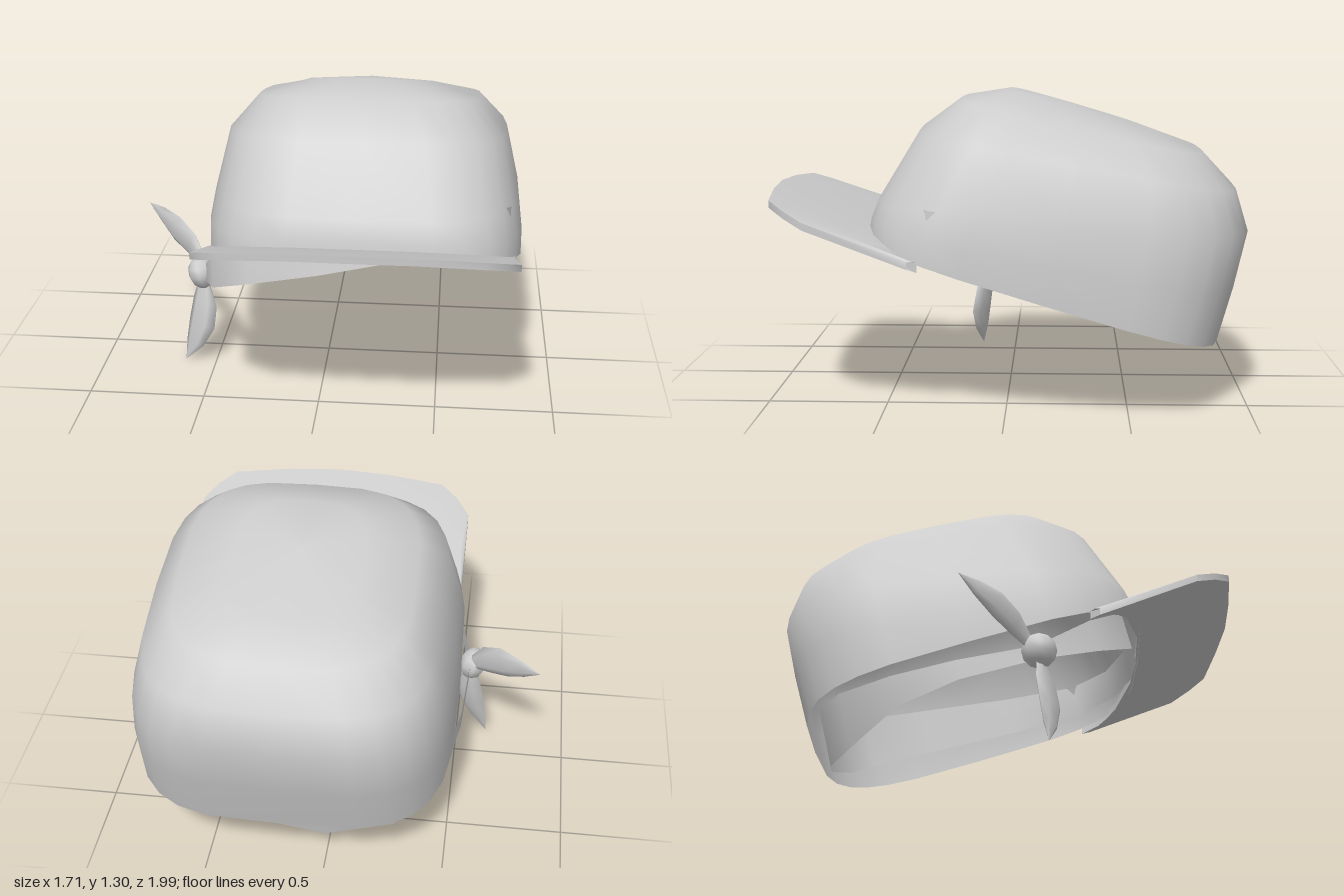
import * as THREE from 'three';
import { toCreasedNormals } from 'three/addons/utils/BufferGeometryUtils.js';

const V = (x, y, z) => new THREE.Vector3(x, y, z);
const CX = 0.17; // the cap sits a little to its left, balancing the knot

// Skin a list of cross-sections (arrays of Vector3 with equal length).
function loft(rings, { closeAround = true, closeAlong = false } = {}) {
  const n = rings[0].length, index = [];
  const rows = closeAlong ? rings.length : rings.length - 1;
  const cols = closeAround ? n : n - 1;
  for (let i = 0; i < rows; i++) {
    const a = i * n, b = ((i + 1) % rings.length) * n;
    for (let j = 0; j < cols; j++) {
      const k = (j + 1) % n;
      index.push(a + j, a + k, b + j, a + k, b + k, b + j);
    }
  }
  const geo = new THREE.BufferGeometry().setFromPoints(rings.flat());
  geo.setIndex(index);
  geo.computeVertexNormals();
  return geo;
}

function part(name, geo) {
  const mesh = new THREE.Mesh(geo, new THREE.MeshStandardMaterial({ color: 0xcccccc, side: THREE.DoubleSide }));
  mesh.name = name;
  return mesh;
}

// Rounded-square ring, tilted between a front point and a back point.
function capRing([zf, yf, zb, yb, w, n]) {
  const pts = [], seg = 28;
  const power = (v) => Math.sign(v) * Math.abs(v) ** (2 / n);
  for (let i = 0; i < seg; i++) {
    const a = (i / seg) * Math.PI * 2;
    const t = (power(Math.cos(a)) + 1) / 2;
    pts.push(V(CX + w * power(Math.sin(a)), yb + (yf - yb) * t, zb + (zf - zb) * t));
  }
  return pts;
}

// Crown: front z, y / back z, y / half width / squareness, from rim to top
function crown() {
  return loft([
    [0.58, 0.71, -0.88, 0.27, 0.685, 3.8],
    [0.57, 0.78, -0.945, 0.5, 0.685, 3.8],
    [0.54, 0.86, -1.0, 0.73, 0.665, 3.7],
    [0.37, 1.14, -0.95, 0.9, 0.61, 3.6],
    [0.2, 1.265, -0.82, 1.04, 0.49, 3.4],
    [0.0, 1.3, -0.6, 1.125, 0.27, 3],
    [-0.25, 1.243, -0.25, 1.243, 0, 2],
  ].map(capRing));
}

// Visor: half width / outer z / inner half width / inner z, side to middle
function visor() {
  const half = [
    [0.65, 0.38, 0.64, 0.34], [0.65, 0.79, 0.615, 0.42], [0.59, 0.875, 0.57, 0.46],
    [0.51, 0.945, 0.5, 0.5], [0.25, 0.975, 0.25, 0.56], [0, 0.99, 0, 0.57],
  ];
  const mirrored = half.slice(0, -1).reverse().map(([a, b, c, d]) => [-a, b, -c, d]);
  const at = (x, z, drop) =>
    V(CX + x, 0.905 + (z - 0.99) * 0.375 - 0.02 * (x / 0.65) ** 4 - drop, z);
  const geo = loft([...half, ...mirrored].map(([xo, zo, xi, zi]) => {
    const zm = (zo + zi) / 2, xm = (xo + xi) / 2;
    return [at(xi, zi, 0), at(xm, zm, -0.004), at(xo, zo, 0.005),
      at(xo, zo, 0.035), at(xm, zm, 0.035), at(xi, zi, 0.035)];
  }));
  return toCreasedNormals(geo, 0.7);
}

// Kerchief: x, z, lower y, upper y around the head, starting at the knot
function band() {
  const keys = [
    [-0.55, 0.13, 0.39, 0.45], [-0.47, 0.37, 0.46, 0.6], [-0.3, 0.52, 0.55, 0.72],
    [0.0, 0.56, 0.62, 0.78], [0.35, 0.56, 0.7, 0.84], [0.64, 0.49, 0.73, 0.87],
    [0.79, 0.33, 0.7, 0.85], [0.82, 0, 0.62, 0.8], [0.815, -0.4, 0.52, 0.74],
    [0.75, -0.68, 0.42, 0.67], [0.65, -0.78, 0.35, 0.63], [0.42, -0.84, 0.27, 0.54],
    [0.0, -0.78, 0.14, 0.41], [-0.28, -0.66, 0.115, 0.36], [-0.47, -0.45, 0.22, 0.355],
    [-0.53, -0.2, 0.31, 0.395],
  ];
  const rings = keys.map(([x, z, lo, hi]) => [0, 0.5, 1].map((t) => {
    const rise = (hi - lo) * t;
    return V(x, lo + rise, z - 0.24 * rise);
  }));
  return loft(rings, { closeAround: false, closeAlong: true });
}

// Leaf-shaped cloth end: path points, half widths, wide direction, thickness
function tail(path, widths, wide, thick) {
  const axis = path[path.length - 1].clone().sub(path[0]).normalize();
  const u = wide.clone().addScaledVector(axis, -wide.dot(axis)).normalize();
  const v = axis.clone().cross(u);
  return loft(path.map((p, i) => Array.from({ length: 6 }, (_, k) => {
    const a = (k / 6) * Math.PI * 2;
    return p.clone()
      .addScaledVector(u, Math.cos(a) * widths[i])
      .addScaledVector(v, Math.sin(a) * widths[i] * thick);
  })));
}

export function createModel() {
  const model = new THREE.Group();
  model.name = 'capWithKerchief';
  model.add(part('crown', crown()), part('visor', visor()), part('kerchiefBand', band()));

  // Side knot with its two loose ends
  const knot = part('knot', new THREE.SphereGeometry(0.07, 8, 6));
  knot.position.set(-0.56, 0.42, 0.125);
  knot.rotation.z = 0.3;
  knot.scale.set(0.9, 1.05, 1.05);

  const lower = tail(
    [V(-0.55, 0.4, 0.13), V(-0.545, 0.29, 0.15), V(-0.56, 0.19, 0.165), V(-0.595, 0.09, 0.165), V(-0.64, 0, 0.16)],
    [0.025, 0.07, 0.075, 0.05, 0.001], V(0.8, 0, 0.5), 0.35);
  const upper = tail(
    [V(-0.55, 0.44, 0.1), V(-0.62, 0.515, 0.03), V(-0.7, 0.56, -0.04), V(-0.78, 0.595, -0.12), V(-0.855, 0.622, -0.19)],
    [0.025, 0.062, 0.068, 0.04, 0.001], V(0, 1, 0), 0.35);
  model.add(knot, part('lowerTail', lower), part('upperTail', upper));
  return model;
}
